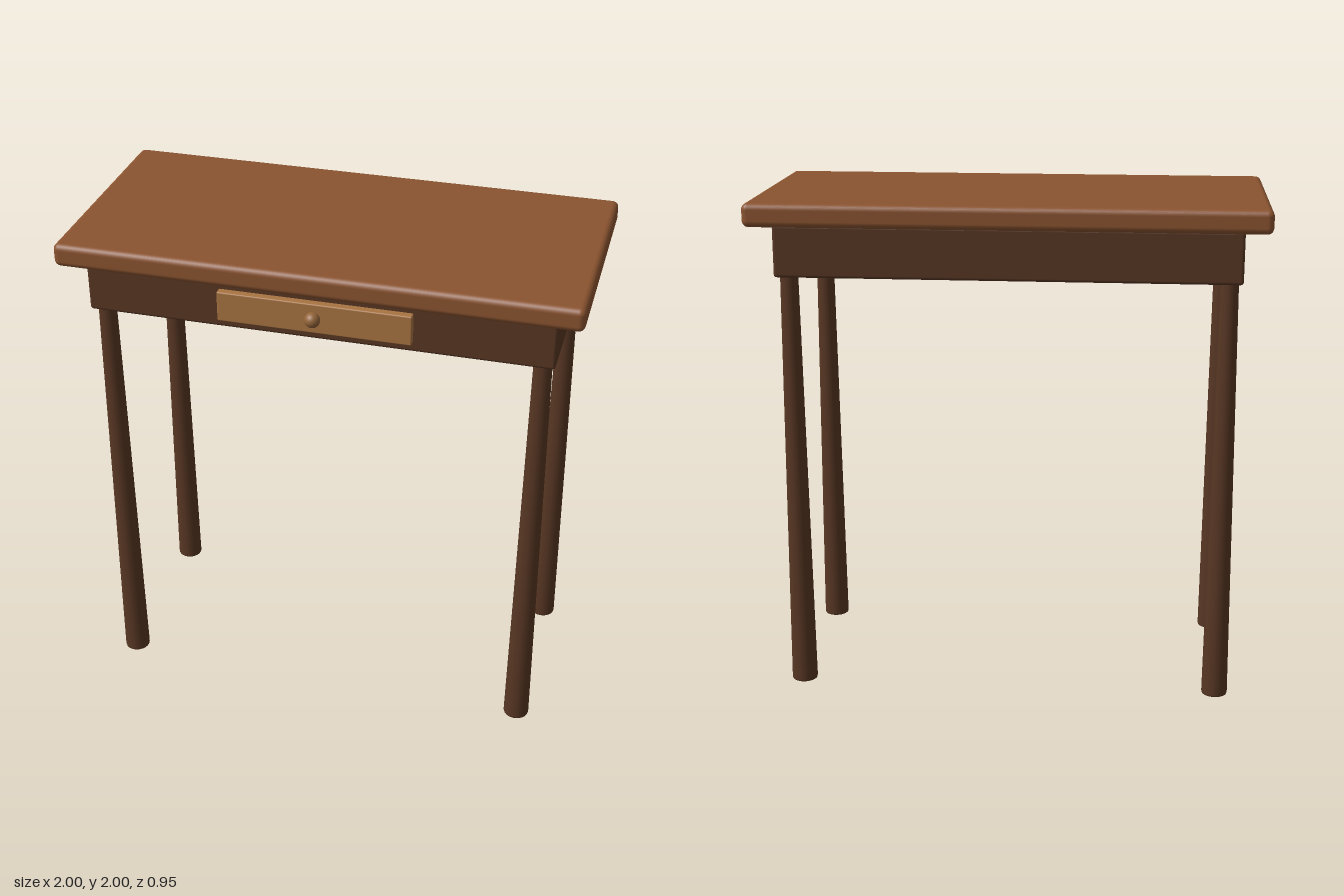
import * as THREE from 'three';
import { RoundedBoxGeometry } from 'three/addons/geometries/RoundedBoxGeometry.js';

const material = (name, color) => {
  const m = new THREE.MeshStandardMaterial({ color });
  m.name = name;
  return m;
};

export function createModel() {
  const table = new THREE.Group();
  table.name = 'sideTable';

  const topWood = material('warm brown wood', 0x8b5430);
  const frameWood = material('dark brown wood', 0x573623);
  const drawerWood = material('light brown wood', 0xa87442);
  const knobWood = material('knob wood', 0x94653a);

  const add = (name, geometry, mat, x, y, z) => {
    const mesh = new THREE.Mesh(geometry, mat);
    mesh.name = name;
    mesh.position.set(x, y, z);
    table.add(mesh);
    return mesh;
  };

  // Top board and the apron under it
  add('tableTop', new RoundedBoxGeometry(2, 0.092, 0.946, 4, 0.025), topWood, 0, 1.954, 0);
  add('apron', new RoundedBoxGeometry(1.8, 0.204, 0.8, 3, 0.012), frameWood, 0, 1.806, 0);

  // Drawer front and its knob
  add('drawerFront', new RoundedBoxGeometry(0.746, 0.12, 0.04, 2, 0.005), drawerWood, 0, 1.805, 0.41);
  add('drawerKnob', new THREE.SphereGeometry(0.03, 24, 16), knobWood, 0, 1.805, 0.438);

  // Round legs, wider at the floor with a softened foot edge
  const legProfile = [[0, 0], [0.047, 0], [0.0505, 0.002], [0.052, 0.008], [0.035, 1.71], [0, 1.71]]
    .map(([r, y]) => new THREE.Vector2(r, y));
  // Flat foot and top are separate discs so their normals stay sharp
  const legSide = new THREE.LatheGeometry(legProfile.slice(1, 5), 24);
  const footDisc = new THREE.CircleGeometry(0.047, 24).rotateX(Math.PI / 2);
  for (const sx of [-1, 1]) {
    for (const sz of [-1, 1]) {
      const name = `${sz > 0 ? 'front' : 'back'}${sx > 0 ? 'Left' : 'Right'}`;
      add(`${name}Leg`, legSide, frameWood, sx * 0.849, 0, sz * 0.349);
      add(`${name}Foot`, footDisc, frameWood, sx * 0.849, 0, sz * 0.349);
    }
  }
  return table;
}
